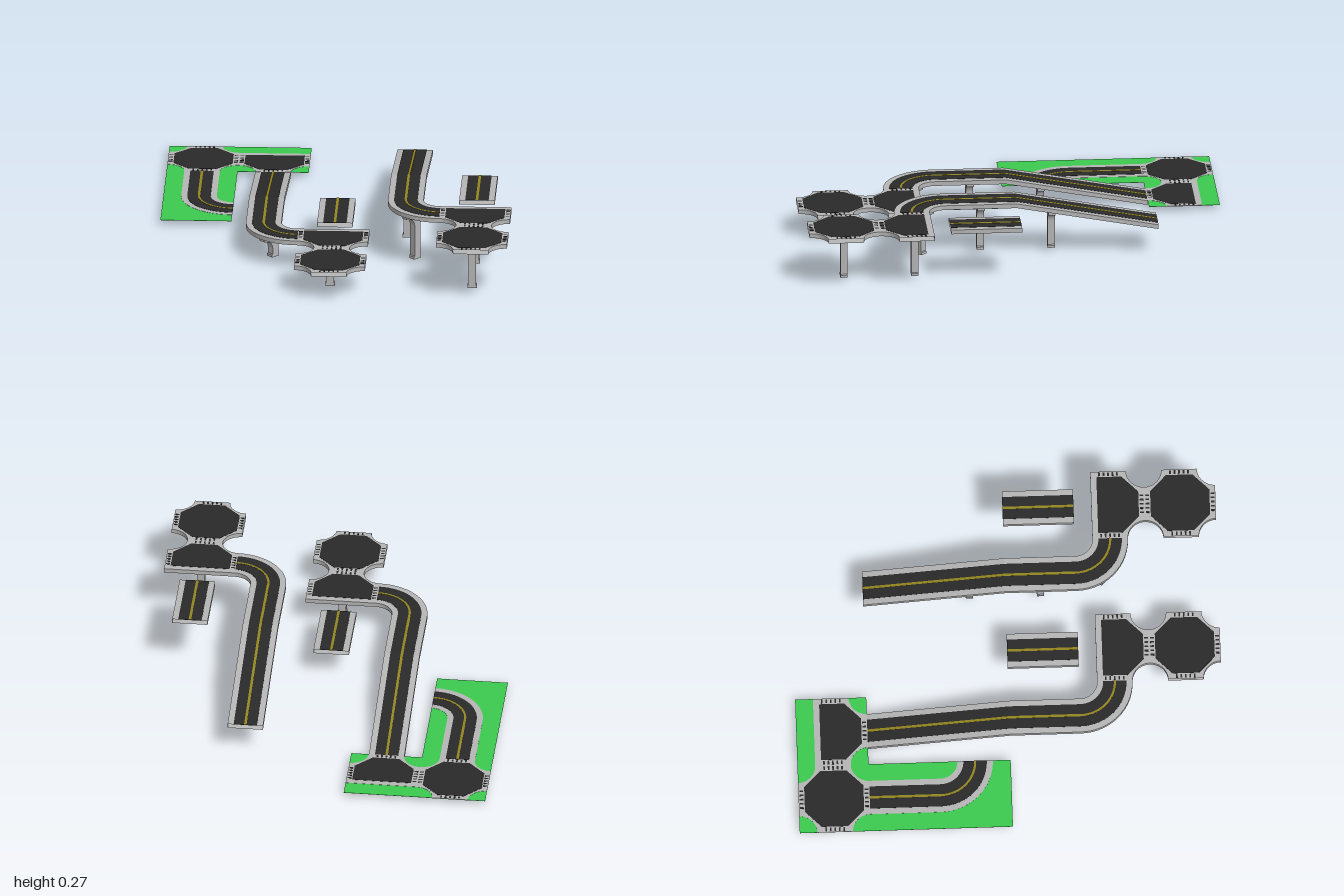
import * as THREE from 'three';

const mat = (name, color) => new THREE.MeshStandardMaterial({ name, color, side: THREE.DoubleSide });
const concrete = mat('concrete', 0xb6b6b6);
const asphalt = mat('asphalt', 0x2a2a2a);
const paint = mat('yellow paint', 0x94861f);
const grass = mat('grass', 0x3ccb50);

const T = 1 / 6;      // half a tile
const H = 1 / 12;     // half road width including kerbs
const R = 0.055;      // half asphalt width
const THICK = 0.021;  // bridge deck thickness
const RISE = 0.123;   // height between levels
const GROUND = 0.021;

// Points are [x, z] pairs.
function arc(cx, cz, r, from, to, n = 10) {
  return Array.from({ length: n + 1 }, (_, i) => {
    const a = THREE.MathUtils.degToRad(from + (to - from) * i / n);
    return [cx + r * Math.cos(a), cz + r * Math.sin(a)];
  });
}
const corner = k => {
  const x = k === 0 || k === 3 ? T : -T, z = k < 2 ? T : -T;
  return arc(x, z, H, 270 + 90 * k, 180 + 90 * k);
};
const band = (a, b, l = T) => [[a, -l], [a, l], [b, l], [b, -l]];
const bend = (a, b, from = 90, to = 180) =>
  [...arc(T, -T, a, from, to, 14), ...arc(T, -T, b, to, from, 14)];

// Each tile: walled sides (gaps between them are open road mouths), asphalt, line, crossing mouths
const W = 0.139, F = 0.062;
const tiles = {
  straight: {
    sides: [[[-H, -T], [-H, T]], [[H, T], [H, -T]]],
    road: band(-R, R), line: band(-0.006, 0.006), mouths: [],
  },
  curve: {
    sides: [arc(T, -T, H, 90, 180, 14), arc(T, -T, 3 * H, 180, 90, 14)],
    road: bend(2 * H - R, 2 * H + R), line: bend(0.162, 0.172), mouths: [],
  },
  crossroad: {
    sides: [0, 1, 2, 3].map(corner),
    road: [[W, -F], [W, F], [F, W], [-F, W], [-W, F], [-W, -F], [-F, -W], [F, -W]],
    mouths: [0, 1, 2, 3],
  },
  junction: {
    sides: [corner(0), corner(1), [[-T, -H], [T, -H]]],
    road: [[W, -R], [W, F], [F, W], [-F, W], [-W, F], [-W, -R]],
    mouths: [0, 1, 2],
  },
};

const shapeOf = pts => new THREE.Shape(pts.map(([x, z]) => new THREE.Vector2(x, -z)));

// Thin horizontal plate centred on height y
function plate(pts, y, thick) {
  return new THREE.ExtrudeGeometry(shapeOf(pts), { depth: thick, bevelEnabled: false })
    .rotateX(-Math.PI / 2).translate(0, y - thick / 2, 0);
}

// Vertical walls under the given open paths
function walls(paths, y0, y1) {
  const v = [];
  for (const p of paths) {
    for (let i = 0; i + 1 < p.length; i++) {
      const [ax, az] = p[i], [bx, bz] = p[i + 1];
      v.push(ax, y0, az, ax, y1, az, bx, y1, bz, ax, y0, az, bx, y1, bz, bx, y0, bz);
    }
  }
  const g = new THREE.BufferGeometry();
  g.setAttribute('position', new THREE.Float32BufferAttribute(v, 3));
  g.computeVertexNormals();
  return g;
}

// Stripes across the mouth of a crossing
function crossing(k, y) {
  return [-2, -1, 0, 1, 2].map(i => new THREE.BoxGeometry(0.018, 0.001, 0.008)
    .translate(0.153, y, i * 0.021).rotateY(-k * Math.PI / 2));
}

// One road tile; slope tilts it about its local centre, stretch lengthens it
function roadTile(kind, x, y, z, { bridge = true, slope = 0, stretch = 1 } = {}) {
  const tile = tiles[kind], group = new THREE.Group();
  group.name = (bridge ? 'bridge ' : 'ground ') + kind;
  group.position.set(x, y, z);
  const add = (geo, material, name) => {
    geo.scale(1, 1, stretch);
    if (slope) {
      const p = geo.attributes.position;
      for (let i = 0; i < p.count; i++) p.setY(i, p.getY(i) + slope * p.getZ(i));
      geo.computeVertexNormals();
    }
    const m = new THREE.Mesh(geo, material);
    m.name = name;
    group.add(m);
  };
  const outline = tile.sides.flat();
  if (bridge) {
    const flat = h => new THREE.ShapeGeometry(shapeOf(outline)).rotateX(-Math.PI / 2).translate(0, h, 0);
    const under = flat(-THICK), idx = under.index.array;
    for (let i = 0; i < idx.length; i += 3) [idx[i], idx[i + 1]] = [idx[i + 1], idx[i]];
    under.computeVertexNormals();
    add(flat(0), concrete, 'deckTop');
    add(under, concrete, 'deckUnderside');
    add(walls(tile.sides, -THICK, 0), concrete, 'deckSides');
    add(plate(tile.road, 0.001, 0.001), asphalt, 'roadSurface');
  } else {
    add(plate(outline, 0, 0.003), concrete, 'pavement');
    add(plate(tile.road, 0, 0.005), asphalt, 'roadSurface');
  }
  const top = bridge ? 0.0025 : 0.0035;
  if (tile.line) add(plate(tile.line, top, 0.001), paint, 'centreLine');
  for (const k of tile.mouths) {
    for (const g of crossing(k, top - 0.001)) add(g, asphalt, 'crossingStripe');
  }
  return group;
}

// Bridge pillar with a flared head reaching up to height top
function pillar(x, top, z, turn = 0) {
  const s = new THREE.Shape(), h = top - GROUND;
  s.moveTo(-0.022, 0);
  s.lineTo(0.022, 0);
  s.lineTo(0.022, 0.012);
  s.lineTo(0.018, 0.016);
  s.lineTo(0.018, h - 0.055);
  s.quadraticCurveTo(0.022, h - 0.023, 0.052, h - 0.019);
  s.lineTo(0.07, h - 0.015);
  s.lineTo(0.07, h);
  s.lineTo(-0.07, h);
  s.lineTo(-0.07, h - 0.015);
  s.lineTo(-0.052, h - 0.019);
  s.quadraticCurveTo(-0.022, h - 0.023, -0.018, h - 0.055);
  s.lineTo(-0.018, 0.016);
  s.lineTo(-0.022, 0.012);
  const geo = new THREE.ExtrudeGeometry(s, { depth: 0.034, bevelEnabled: false, curveSegments: 6 });
  const m = new THREE.Mesh(geo.translate(0, 0, -0.017), concrete);
  m.name = 'pillar';
  m.position.set(x, GROUND, z);
  m.rotation.y = turn;
  return m;
}

export function createModel() {
  const model = new THREE.Group();
  model.name = 'road system';

  // Grass and ground roads
  const lawn = [[-5 * T, -1], [-T, -1], [-T, -4 * T], [-3 * T, -4 * T], [-3 * T, 0], [-5 * T, 0]];
  const lawnMesh = new THREE.Mesh(plate(lawn, GROUND, 0.001), grass);
  lawnMesh.name = 'grass';
  model.add(lawnMesh);
  const flat = { bridge: false };
  model.add(
    roadTile('crossroad', -4 * T, GROUND, -5 * T, flat),
    roadTile('junction', -2 * T, GROUND, -5 * T, flat),
    roadTile('straight', -4 * T, GROUND, -3 * T, flat),
    roadTile('curve', -4 * T, GROUND, -T, flat),
  );

  // Two raised roads, one level apart
  for (const level of [1, 2]) {
    const x = level === 1 ? -2 * T : 2 * T;
    const y = GROUND + RISE * level, under = y - THICK;
    const road = new THREE.Group();
    road.name = level === 1 ? 'lowerBridge' : 'upperBridge';
    road.add(
      roadTile('straight', x, y - RISE / 2, -2 * T, { slope: RISE / (4 * T), stretch: 2 }),
      roadTile('straight', x, y, T),
      roadTile('curve', x, y, 3 * T),
      roadTile('junction', x + 2 * T, y, 3 * T),
      roadTile('crossroad', x + 2 * T, y, 5 * T),
      roadTile('straight', x + 2 * T, y, T),
      pillar(x, under - RISE / 4, -T),
      pillar(x, under, T),
      pillar(x + 0.049, under, 3 * T - 0.049, Math.PI / 4),
      pillar(x + 2 * T, under, 3 * T),
      pillar(x + 2 * T, under, 5 * T),
    );
    model.add(road);
  }
  return model;
}
